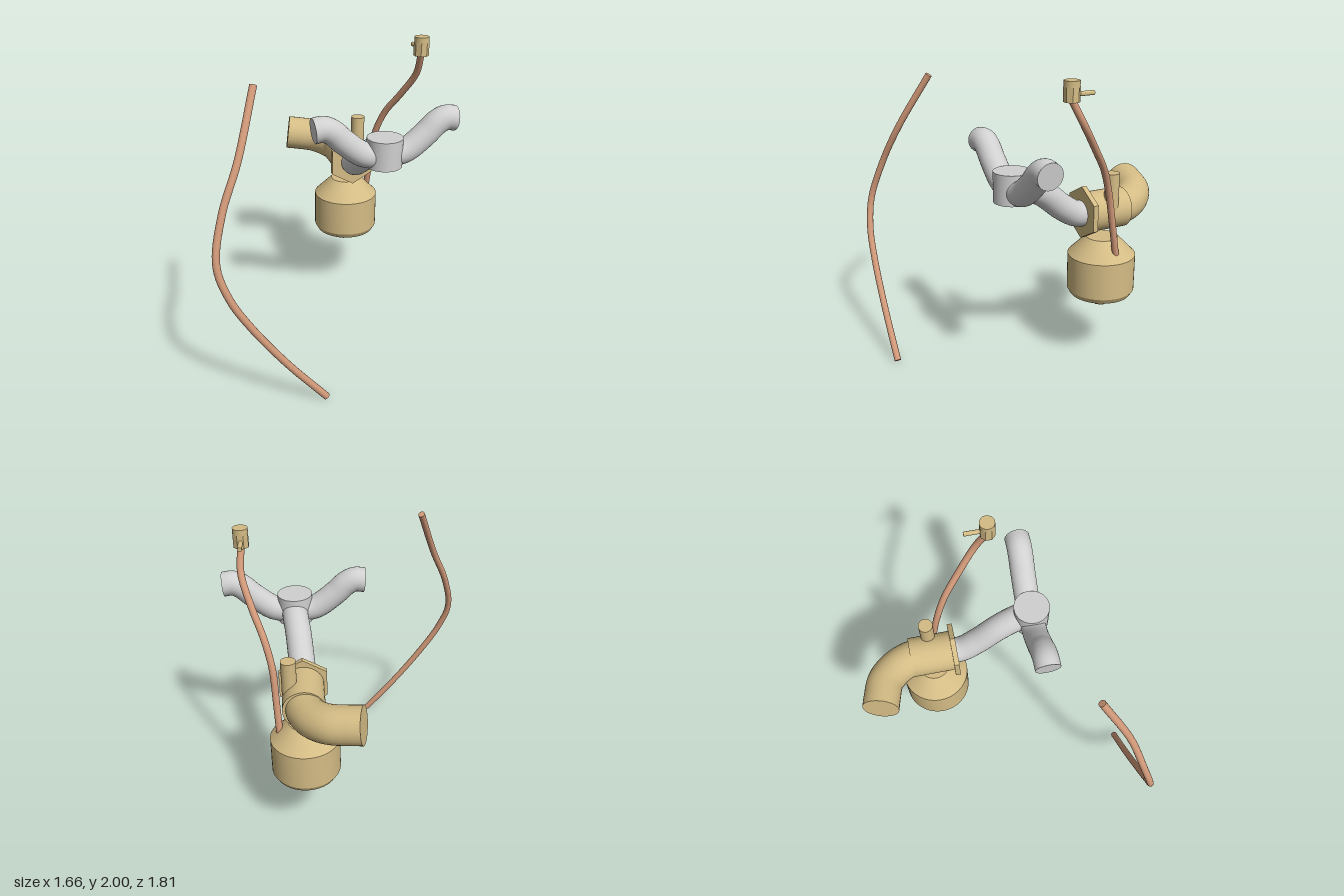
import * as THREE from 'three';
import { mergeGeometries, toCreasedNormals } from 'three/addons/utils/BufferGeometryUtils.js';

const material = (name, color) => {
  const m = new THREE.MeshStandardMaterial({ color });
  m.name = name;
  return m;
};

export function createModel() {
  const model = new THREE.Group();
  model.name = 'plumbingAssembly';
  const brass = material('brass', 0xd4bc85);
  const copper = material('copper', 0xd09878);
  const steel = material('steel', 0xd0d0d0);

  const add = (name, geometry, mat, x = 0, y = 0, z = 0) => {
    const mesh = new THREE.Mesh(geometry, mat);
    mesh.name = name;
    mesh.position.set(x, y, z);
    model.add(mesh);
    return mesh;
  };

  // Smooth bent pipe with a flat disc at each end
  const pipe = (name, points, radius, mat) => {
    const curve = new THREE.CatmullRomCurve3(points.map(p => new THREE.Vector3(...p)));
    const parts = [new THREE.TubeGeometry(curve, 64, radius, 28)];
    for (const t of [0, 1]) {
      const dir = curve.getTangentAt(t).multiplyScalar(t ? 1 : -1);
      const cap = new THREE.CircleGeometry(radius, 28);
      cap.applyQuaternion(new THREE.Quaternion().setFromUnitVectors(new THREE.Vector3(0, 0, 1), dir));
      cap.translate(...curve.getPointAt(t).toArray());
      parts.push(cap);
    }
    return add(name, mergeGeometries(parts), mat);
  };

  // Upright cylinder or prism between two heights
  const post = (name, r, y0, y1, x, z, sides, mat) => {
    const g = new THREE.CylinderGeometry(r, r, y1 - y0, sides);
    return add(name, toCreasedNormals(g, 0.6), mat, x, (y0 + y1) / 2, z);
  };

  // Loose copper pipe
  pipe('loosePipe', [
    [-0.505, 1.892, 0.458], [-0.64, 1.53, 0.645], [-0.757, 1.26, 0.74],
    [-0.812, 1.0, 0.818], [-0.757, 0.8, 0.857], [-0.645, 0.6, 0.872],
    [-0.44, 0.31, 0.88], [-0.2, 0.018, 0.883],
  ], 0.022, copper);

  // Tank with sloped shoulder and drain nut
  const profile = [[0, 0.485], [0.205, 0.485], [0.225, 0.52], [0.225, 0.765], [0.105, 0.885], [0, 0.885]];
  const tank = new THREE.LatheGeometry(profile.map(p => new THREE.Vector2(...p)), 48);
  add('tank', toCreasedNormals(tank, 0.45), brass, 0.315, 0, -0.405);
  post('drainNut', 0.053, 0.4, 0.49, 0.315, -0.405, 6, brass).rotation.y = Math.PI / 2;

  // Valve body, hexagonal flange and stem
  const body = new THREE.CylinderGeometry(0.132, 0.132, 0.285, 40).rotateX(Math.PI / 2);
  add('valveBody', toCreasedNormals(body, 0.6), brass, 0.315, 1.07, -0.402);
  const flange = new THREE.CylinderGeometry(0.175, 0.175, 0.034, 6).rotateX(Math.PI / 2);
  add('hexFlange', toCreasedNormals(flange, 0.6), brass, 0.315, 1.075, -0.255);
  post('valveStem', 0.047, 1.1, 1.34, 0.4, -0.41, 28, brass);

  // Large brass elbow
  pipe('brassElbow', [
    [0.315, 1.07, -0.5], [0.3, 1.072, -0.57], [0.25, 1.085, -0.66],
    [0.165, 1.105, -0.735], [0.06, 1.12, -0.769], [-0.025, 1.13, -0.79],
  ], 0.119, brass);

  // Steel pipe rising to the tee
  pipe('steelPipe', [
    [0.315, 1.07, -0.3], [0.312, 1.075, -0.2], [0.32, 1.14, -0.09],
    [0.335, 1.26, 0.06], [0.35, 1.315, 0.18], [0.352, 1.33, 0.25],
  ], 0.085, steel);
  post('tee', 0.115, 1.245, 1.435, 0.35, 0.274, 40, steel);

  // Pair of mirrored outlet arms
  for (const side of [-1, 1]) {
    pipe(side > 0 ? 'leftArm' : 'rightArm', [
      [0.03, 1.315], [0.14, 1.335], [0.27, 1.43], [0.345, 1.5], [0.4, 1.526], [0.464, 1.52],
    ].map(([d, y]) => [0.35 + side * d, y, 0.272]), 0.081, steel);
  }

  // Thin copper pipe from the tank to the tap
  pipe('tapPipe', [
    [0.476, 0.81, -0.408], [0.486, 1.01, -0.37], [0.5, 1.235, -0.323],
    [0.543, 1.41, -0.254], [0.61, 1.57, -0.143], [0.665, 1.74, -0.026], [0.656, 1.89, 0.055],
  ], 0.022, copper);

  // Small tap with cap and lever
  post('tapBody', 0.049, 1.88, 1.965, 0.655, 0.055, 8, brass).rotation.y = Math.PI / 8;
  post('tapCap', 0.047, 1.96, 2.0, 0.655, 0.055, 28, brass);
  const lever = new THREE.CylinderGeometry(0.014, 0.014, 0.14, 16).rotateX(Math.PI / 2);
  add('tapLever', toCreasedNormals(lever, 0.6), brass, 0.655, 1.92, -0.018);

  return model;
}
